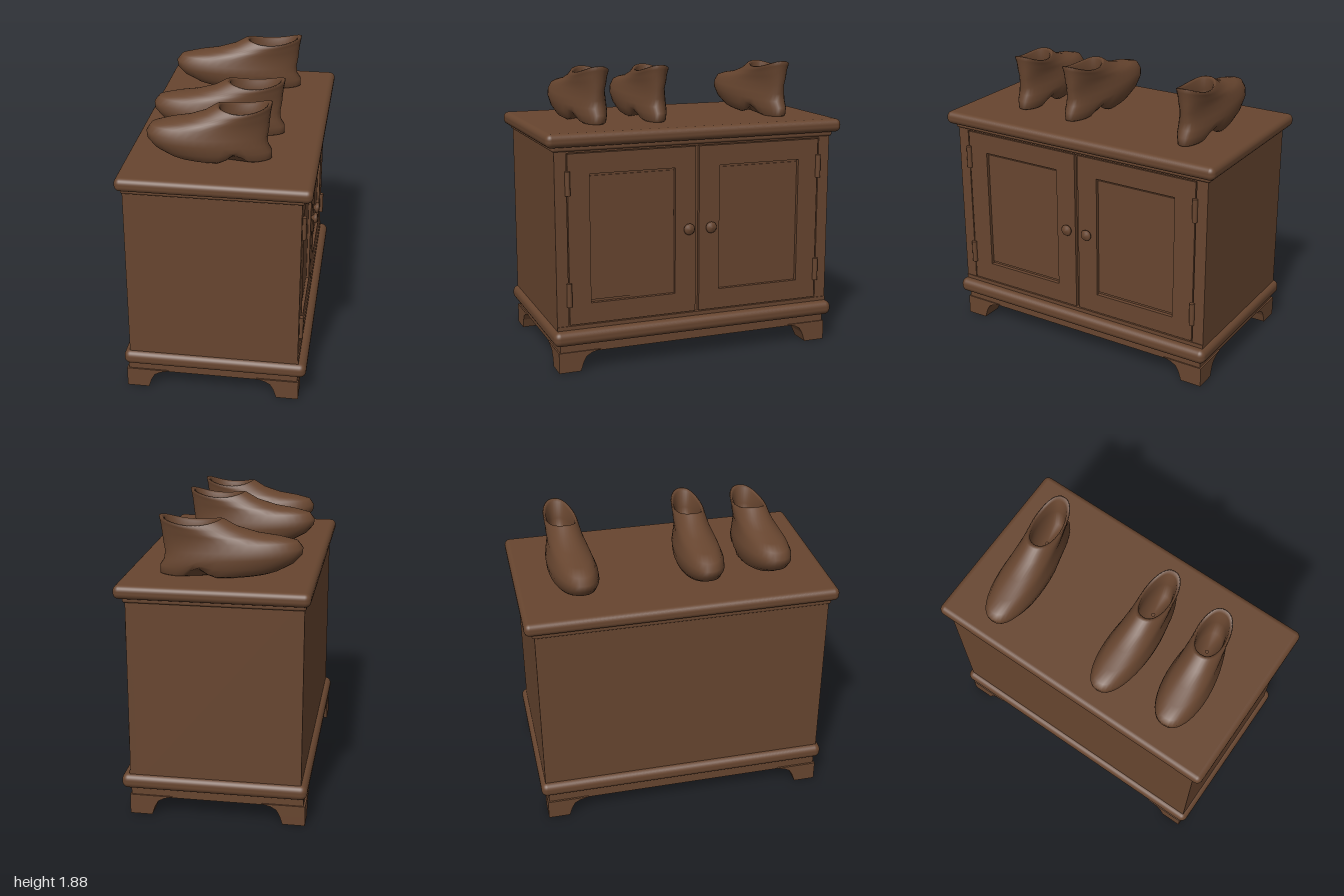
import * as THREE from 'three';
import { RoundedBoxGeometry } from 'three/addons/geometries/RoundedBoxGeometry.js';

const wood = new THREE.MeshStandardMaterial({ color: 0x67452f });
wood.name = 'brown wood';

function add(parent, name, geometry, x = 0, y = 0, z = 0) {
  const mesh = new THREE.Mesh(geometry, wood);
  mesh.name = name;
  mesh.position.set(x, y, z);
  parent.add(mesh);
  return mesh;
}

// Box given by its limits
function block(parent, name, [x0, x1], [y0, y1], [z0, z1], radius = 0) {
  const size = [x1 - x0, y1 - y0, z1 - z0];
  const geo = radius ? new RoundedBoxGeometry(...size, 4, radius) : new THREE.BoxGeometry(...size);
  return add(parent, name, geo, (x0 + x1) / 2, (y0 + y1) / 2, (z0 + z1) / 2);
}

// Bracket foot: outer corner stays upright, inner faces flare into the apron
function footGeometry(sx, sz) {
  const levels = [[0, 0.14], [0.06, 0.16], [0.095, 0.18], [0.115, 0.215], [0.13, 0.27]];
  const geo = new THREE.BoxGeometry(1, 1, 1, 1, levels.length - 1, 1);
  const p = geo.attributes.position;
  for (let i = 0; i < p.count; i++) {
    const [y, size] = levels[Math.round((p.getY(i) + 0.5) * (levels.length - 1))];
    const outerX = sx > 0 ? 0.528 : 0.577;
    p.setXYZ(i,
      sx * (outerX - (0.5 - p.getX(i) * sx) * size), y,
      sz * (0.925 - (0.5 - p.getZ(i) * sz) * size));
  }
  const flat = geo.toNonIndexed();
  flat.computeVertexNormals();
  return flat;
}

// Door frame with a rectangular opening, lying in the yz plane and facing +x
function doorFrameGeometry(w, h, margin, depth) {
  const shape = new THREE.Shape();
  shape.moveTo(-w / 2, -h / 2).lineTo(w / 2, -h / 2).lineTo(w / 2, h / 2).lineTo(-w / 2, h / 2).closePath();
  const a = w / 2 - margin, b = h / 2 - 0.13;
  const hole = new THREE.Path();
  hole.moveTo(-a, -b).lineTo(-a, b).lineTo(a, b).lineTo(a, -b).closePath();
  shape.holes.push(hole);
  return new THREE.ExtrudeGeometry(shape, { depth, bevelEnabled: false }).rotateY(Math.PI / 2);
}

// Clog: rings climb from the sole, close in over the vamp, and turn down inside the collar
// Ring: [toe x, heel x, half width, toe y, heel y, side dip]
const CLOG_RINGS = [
  [-0.08, -0.06, 0.01, 0.005, 0.005, 0],
  [-0.33, 0.31, 0.105, 0.03, 0.0, 0],
  [-0.37, 0.335, 0.125, 0.045, 0.01, 0],
  [-0.45, 0.335, 0.145, 0.09, 0.06, 0],
  [-0.495, 0.31, 0.152, 0.14, 0.10, 0],
  [-0.5, 0.305, 0.145, 0.18, 0.15, 0],
  [-0.47, 0.315, 0.128, 0.22, 0.21, 0],
  [-0.38, 0.32, 0.118, 0.242, 0.27, 0.01],
  [-0.25, 0.325, 0.112, 0.262, 0.31, 0.02],
  [-0.12, 0.33, 0.11, 0.30, 0.34, 0.025],
  [-0.04, 0.335, 0.108, 0.345, 0.365, 0.035],
  [-0.025, 0.325, 0.1, 0.348, 0.368, 0.035],
  [-0.01, 0.305, 0.088, 0.335, 0.355, 0.035],
  [-0.02, 0.28, 0.08, 0.26, 0.25, 0],
  [-0.05, 0.26, 0.075, 0.14, 0.11, 0],
  [0.1, 0.12, 0.01, 0.12, 0.12, 0],
];

function clogGeometry(skew) {
  const n = 40, pos = [], idx = [];
  CLOG_RINGS.forEach(([x0, x1, w, y0, y1, dip], k) => {
    for (let i = 0; i < n; i++) {
      const t = (i / n) * Math.PI * 2, c = Math.cos(t), s = Math.sin(t);
      const x = (x0 + x1) / 2 + ((x1 - x0) / 2) * c;
      const u = (x + 0.5) / 0.84;
      // Narrower at the heel, with an arch in front of the heel block
      const taper = k < 7 ? 1.04 - 0.32 * u * u : 1 - 0.04 * u;
      const arch = k > 0 && k < 4 ? 0.055 * Math.exp(-(((x - 0.1) / 0.06) ** 2)) / (k === 3 ? 2 : 1) : 0;
      const rise = k > 0 && k < 4 ? ((1 - c) / 2) ** 3 : (1 - c) / 2;
      const y = y1 + (y0 - y1) * rise - dip * s * s + arch;
      pos.push(x, y, Math.sign(s) * Math.abs(s) ** 0.85 * w * taper + skew * (u - 0.4));
      if (k < CLOG_RINGS.length - 1) {
        const a = k * n + i, b = k * n + ((i + 1) % n);
        idx.push(a, a + n, b, b, a + n, b + n);
      }
    }
  });
  const geo = new THREE.BufferGeometry();
  geo.setAttribute('position', new THREE.Float32BufferAttribute(pos, 3));
  geo.setIndex(idx);
  geo.computeVertexNormals();
  return geo;
}

export function createModel() {
  const model = new THREE.Group();
  model.name = 'cabinetWithClogs';

  // Carcass, mouldings and plinth
  block(model, 'carcass', [-0.55, 0.495], [0.2, 1.46], [-0.93, 0.93]);
  block(model, 'topBoard', [-0.588, 0.583], [1.425, 1.51], [-0.99, 0.99], 0.036);
  block(model, 'topTrim', [-0.56, 0.535], [1.395, 1.44], [-0.945, 0.945], 0.015);
  block(model, 'baseMoulding', [-0.588, 0.575], [0.18, 0.275], [-0.96, 0.96], 0.04);
  block(model, 'plinth', [-0.565, 0.52], [0.12, 0.22], [-0.915, 0.915]);

  // Face frame
  block(model, 'topRail', [0.48, 0.52], [1.385, 1.43], [-0.93, 0.93]);
  block(model, 'bottomRail', [0.48, 0.525], [0.26, 0.3], [-0.93, 0.93]);

  const knobProfile = [[0, 0], [0.018, 0], [0.016, 0.012], [0.034, 0.02], [0.037, 0.03], [0.028, 0.042], [0, 0.047]]
    .map(([r, h]) => new THREE.Vector2(r, h));

  for (const s of [1, -1]) {
    block(model, 'cornerPost', [0.48, 0.52], [0.27, 1.43], s > 0 ? [0.855, 0.93] : [-0.93, -0.855]);

    // Door with recessed panel, knob and hinges
    const door = new THREE.Group();
    door.name = s > 0 ? 'leftDoor' : 'rightDoor';
    model.add(door);
    add(door, 'doorFrame', doorFrameGeometry(0.836, 1.075, 0.139, 0.03), 0.49, 0.8425, s * 0.43);
    block(door, 'doorPanel', [0.485, 0.503], [0.45, 1.235],
      s > 0 ? [0.155, 0.705] : [-0.705, -0.155]);
    add(door, 'knob', new THREE.LatheGeometry(knobProfile, 20).rotateZ(-Math.PI / 2), 0.516, 0.855, s * 0.075 - 0.01);
    for (const y of [0.5, 1.2]) {
      add(door, 'hinge', new THREE.CylinderGeometry(0.017, 0.017, 0.15, 10), 0.526, y, s * 0.85);
    }
    for (const sx of [1, -1]) add(model, 'foot', footGeometry(sx, s));
  }

  // Three clogs standing on the top: [x, z, length scale, width scale, heel skew]
  const clogs = [
    [0.014, -0.628, 1.035, 0.98, -0.06],
    [0, 0.178, 1, 0.95, 0.0],
    [-0.003, 0.603, 0.9, 1, -0.06],
  ];
  for (const [x, z, length, width, skew] of clogs) {
    add(model, 'clog', clogGeometry(skew), x, 1.508, z).scale.set(length, 1, width);
  }
  return model;
}
